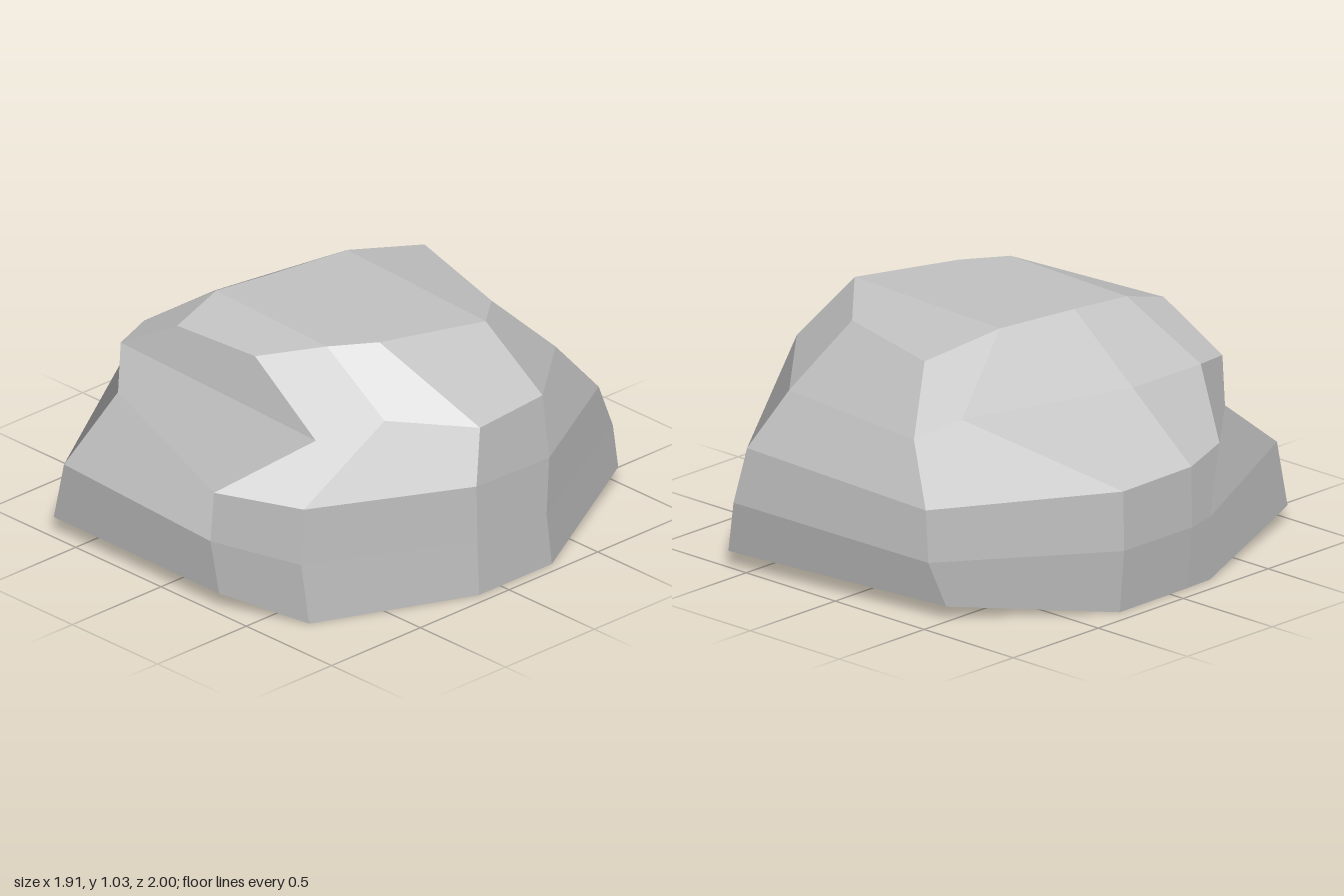
import * as THREE from 'three';

// Each rib climbs the boulder from base to crown; ribs run counter-clockwise from the front.
const ribs = {
  frontRight: [[-0.66, 0.07, 0.97], [-0.6, 0.33, 0.97], [-0.59, 0.56, 0.675], [-0.59, 0.78, 0.66], [-0.28, 0.96, 0.64]],
  frontLeft: [[0.31, 0.07, 0.97], [0.29, 0.31, 1.0], [0.3, 0.53, 0.99], [0.585, 0.765, 0.69], [0.14, 0.96, 0.605]],
  cornerLeft: [[0.66, 0, 0.8], [0.645, 0.27, 0.83], [0.65, 0.52, 0.82], [0.655, 0.77, 0.37], [0.38, 1.03, 0.43]],
  sideLeft: [[0.95, 0, 0.12], [0.95, 0.25, 0.13], [0.955, 0.5, 0.14], [0.955, 0.76, 0.12], [0.5, 1.03, 0.25]],
  rearLeft: [[0.95, 0, -0.29], [0.955, 0.24, -0.255], [0.955, 0.49, -0.27], [0.895, 0.745, -0.29], [0.66, 1.03, -0.195]],
  backLeft: [[0.6, 0.07, -1.0], [0.6, 0.27, -0.97], [0.61, 0.48, -0.88], [0.545, 0.7, -0.7], [0.44, 0.96, -0.44]],
  backRight: [[-0.49, 0.06, -0.86], [-0.48, 0.27, -0.955], [-0.48, 0.5, -0.97], [-0.28, 0.72, -0.83], [-0.12, 0.96, -0.6]],
  rearRight: [[-0.93, 0, -0.3], [-0.955, 0.27, -0.3], [-0.95, 0.525, -0.3], [-0.33, 0.76, -0.6], [-0.2, 1.03, -0.24]],
  sideRight: [[-0.925, 0, 0.1], [-0.955, 0.27, 0.1], [-0.95, 0.53, 0.1], [-0.64, 0.8, 0.08], [-0.255, 1.03, 0.14]],
  cornerRight: [[-0.92, 0, 0.24], [-0.94, 0.28, 0.22], [-0.86, 0.545, 0.36], [-0.64, 0.8, 0.48], [-0.3, 1.03, 0.4]],
};

function boulderGeometry() {
  const cols = Object.values(ribs);
  const n = cols.length;
  const top = cols[0].length - 1;
  const positions = [];
  const normals = [];

  // One four-cornered facet, shaded evenly by the normal of its two diagonals
  const facet = (a, b, c, d) => {
    positions.push(...a, ...b, ...d, ...b, ...c, ...d);
    const across = (from, to) => new THREE.Vector3(...to).sub(new THREE.Vector3(...from));
    const normal = across(a, c).cross(across(b, d)).normalize().toArray();
    for (let i = 0; i < 6; i++) normals.push(...normal);
  };

  // Sides
  for (let j = 0; j < n; j++) {
    const left = cols[j];
    const right = cols[(j + 1) % n];
    for (let i = 0; i < top; i++) facet(left[i], right[i], right[i + 1], left[i + 1]);
  }
  // Crown and underside, bridged from front to back
  for (let k = 0; k < n / 2 - 1; k++) {
    const [a, b, c, d] = [cols[(n - k) % n], cols[k + 1], cols[k + 2], cols[n - k - 1]];
    facet(a[top], b[top], c[top], d[top]);
    facet(d[0], c[0], b[0], a[0]);
  }

  const geometry = new THREE.BufferGeometry();
  geometry.setAttribute('position', new THREE.Float32BufferAttribute(positions, 3));
  geometry.setAttribute('normal', new THREE.Float32BufferAttribute(normals, 3));
  return geometry;
}

export function createModel() {
  const stone = new THREE.MeshStandardMaterial({ color: 0xc2c2c2 });
  stone.name = 'grey stone';
  const boulder = new THREE.Mesh(boulderGeometry(), stone);
  boulder.name = 'boulder';
  const group = new THREE.Group();
  group.name = 'rock';
  group.add(boulder);
  return group;
}
